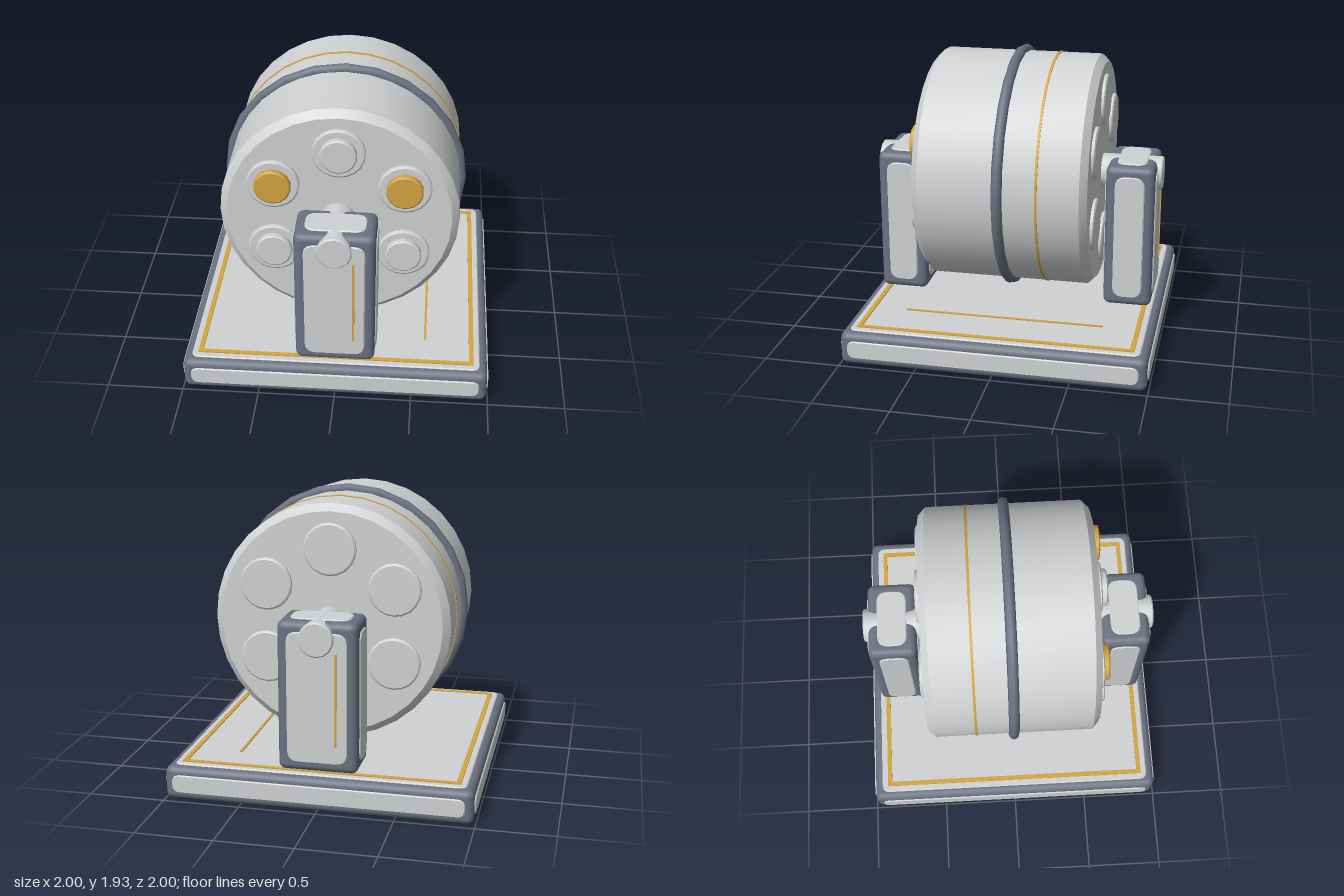
import * as THREE from 'three';
import { toCreasedNormals } from 'three/addons/utils/BufferGeometryUtils.js';
import { RoundedBoxGeometry } from 'three/addons/geometries/RoundedBoxGeometry.js';

const mat = (name, color) => {
  const m = new THREE.MeshStandardMaterial({ color });
  m.name = name;
  return m;
};

export function createModel() {
  const light = mat('light grey', 0xd0d2d3);
  const dark = mat('slate grey', 0x6b7280);
  const gold = mat('gold', 0xd3a540);
  const model = new THREE.Group();
  model.name = 'drumOnStand';

  const add = (parent, name, geo, material, x = 0, y = 0, z = 0) => {
    const mesh = new THREE.Mesh(geo, material);
    mesh.name = name;
    mesh.position.set(x, y, z);
    parent.add(mesh);
    return mesh;
  };

  // Turned part with its axis along z, profile given as [radius, z]
  const turned = (profile, sides) => toCreasedNormals(
    new THREE.LatheGeometry(profile.map(p => new THREE.Vector2(...p)), sides).rotateX(Math.PI / 2), 0.5);

  // Rounded rectangle shape centred on the origin
  const roundRect = (w, h, r) => {
    const s = new THREE.Shape(), a = w / 2, b = h / 2;
    s.moveTo(-a + r, -b);
    s.lineTo(a - r, -b); s.quadraticCurveTo(a, -b, a, -b + r);
    s.lineTo(a, b - r); s.quadraticCurveTo(a, b, a - r, b);
    s.lineTo(-a + r, b); s.quadraticCurveTo(-a, b, -a, b - r);
    s.lineTo(-a, -b + r); s.quadraticCurveTo(-a, -b, -a + r, -b);
    return s;
  };

  // Raised panel facing +z with a small bevel, 0.03 deep, mostly sunk in its block
  const panel = (w, h, r) => new THREE.ExtrudeGeometry(roundRect(w - 0.012, h - 0.012, r), {
    depth: 0.024, bevelThickness: 0.006, bevelSize: 0.006, bevelSegments: 1, curveSegments: 5,
  }).translate(0, 0, -0.024);

  // Dark rounded block with a light panel on each of its six faces
  const panelledBlock = (name, w, h, d, inset, r) => {
    const block = new THREE.Group();
    block.name = name;
    add(block, 'frame', new RoundedBoxGeometry(w, h, d, 3, 0.045), dark);
    for (const s of [1, -1]) {
      const turn = s > 0 ? 0 : Math.PI;
      add(block, 'facePanel', panel(w - inset, h - inset, r), light, 0, 0, s * (d / 2 + 0.003)).rotation.y = turn;
      add(block, 'sidePanel', panel(d - inset, h - inset, r), light, s * (w / 2 + 0.003)).rotation.y = s * Math.PI / 2;
      add(block, 'levelPanel', panel(w - inset, d - inset, r), light, 0, s * (h / 2 + 0.003)).rotation.x = -s * Math.PI / 2;
    }
    return block;
  };

  // Base plate
  const base = panelledBlock('base', 1.98, 0.22, 1.98, 0.1, 0.045);
  base.position.y = 0.119;
  model.add(base);

  // Gold border and strip on top of the base
  const border = new THREE.Shape();
  const square = (path, a) => {
    path.moveTo(-a, -a); path.lineTo(a, -a); path.lineTo(a, a); path.lineTo(-a, a); path.closePath();
    return path;
  };
  square(border, 0.9);
  border.holes.push(square(new THREE.Path(), 0.87));
  add(model, 'baseBorder', new THREE.ExtrudeGeometry(border, { depth: 0.008, bevelEnabled: false })
    .rotateX(-Math.PI / 2), gold, 0, 0.237, 0);
  add(model, 'baseStrip', new THREE.BoxGeometry(0.016, 0.008, 1.32), gold, 0.58, 0.241, 0);

  // Drum, its band and its pinstripe
  const drum = new THREE.Group();
  drum.name = 'drum';
  drum.position.y = 1.12;
  model.add(drum);
  add(drum, 'drumBody', turned([[0, -0.56], [0.72, -0.56], [0.767, -0.515],
    [0.767, 0.515], [0.72, 0.56], [0, 0.56]], 32), light);
  add(drum, 'drumBand', new THREE.TorusGeometry(0.775, 0.035, 8, 24), dark);
  add(drum, 'drumPinstripe', turned([[0.76, -0.254], [0.772, -0.254], [0.772, -0.238], [0.76, -0.238]], 32), gold);

  // Six caps on each end; front caps carry a plug
  const cap = turned([[0.17, 0], [0.17, 0.018], [0.158, 0.026], [0, 0.026]], 20);
  const plug = turned([[0.118, 0], [0.118, 0.032], [0.108, 0.04], [0, 0.04]], 14);
  for (let i = 0; i < 6; i++) {
    const a = Math.PI / 6 + i * Math.PI / 3;
    const x = 0.48 * Math.cos(a), y = 0.48 * Math.sin(a);
    add(drum, 'frontCap', cap, light, x, y, 0.559);
    add(drum, 'frontPlug', plug, i === 0 || i === 2 ? gold : light, x, y, 0.584);
    add(drum, 'backCap', cap, light, x, y, -0.559).rotation.y = Math.PI;
  }

  // Front and back supports with axle and gold strip
  for (const side of ['front', 'back']) {
    const support = new THREE.Group();
    support.name = side + 'Support';
    const post = panelledBlock('post', 0.51, 0.97, 0.32, 0.125, 0.065);
    post.position.set(0, 0.735, 0.77);
    support.add(post);
    add(support, 'axle', turned([[0.112, 0.54], [0.112, 0.955], [0.104, 0.963], [0, 0.963]], 14), light, 0, 1.118, 0);
    add(support, 'postStrip', new THREE.BoxGeometry(0.014, 0.6, 0.008), gold, 0.12, 0.73, 0.941);
    if (side === 'back') support.rotation.y = Math.PI;
    model.add(support);
  }

  return model;
}
